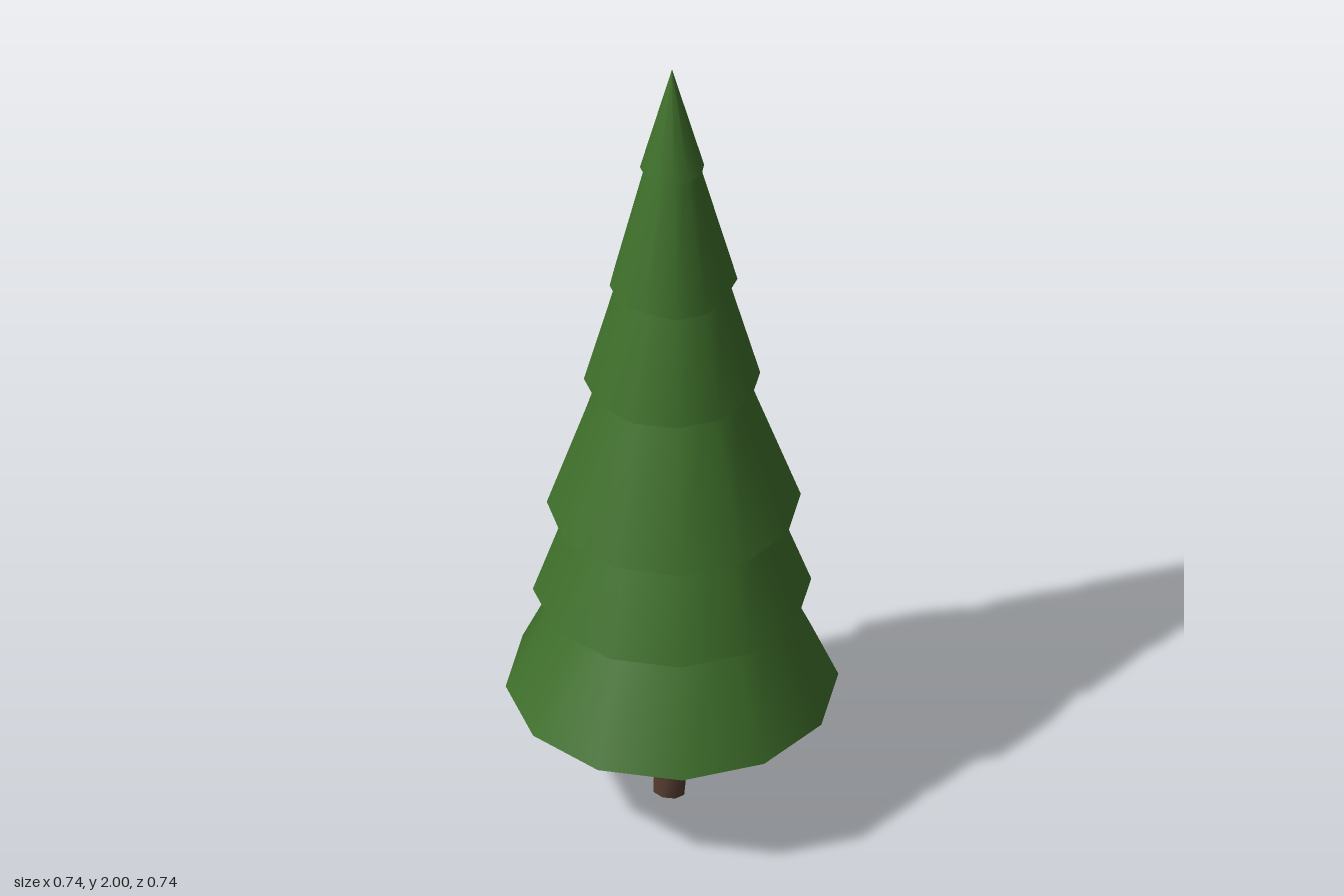
import * as THREE from 'three';
import { toCreasedNormals } from 'three/addons/utils/BufferGeometryUtils.js';

const SIDES = 12;

// One skirt of branches: a 12-sided frustum whose rim corners can be dented.
// dents: corner index (0 = front, 3 = +x, 6 = back, 9 = -x) -> [radius, lift]
function tierGeometry({ y0, y1, r0, r1, dents = {} }) {
  const geo = new THREE.CylinderGeometry(r1, r0, y1 - y0, SIDES, 1);
  geo.translate(0, (y0 + y1) / 2, 0);
  const pos = geo.attributes.position;
  for (let i = 0; i < pos.count; i++) {
    const x = pos.getX(i), z = pos.getZ(i), r = Math.hypot(x, z);
    if (pos.getY(i) > y0 + 1e-4 || r < 1e-4) continue;
    const corner = (Math.round(Math.atan2(x, z) / (Math.PI * 2 / SIDES)) + SIDES) % SIDES;
    const dent = dents[corner];
    if (dent) pos.setXYZ(i, x / r * dent[0], y0 + dent[1], z / r * dent[0]);
  }
  return toCreasedNormals(geo, 0.9);
}

export function createModel() {
  const tree = new THREE.Group();
  tree.name = 'pineTree';
  const green = new THREE.MeshStandardMaterial({ color: 0x3f702b });
  const brown = new THREE.MeshStandardMaterial({ color: 0x553c30 });

  // Branch tiers from the ground up
  const tiers = [
    { y0: 0.308, y1: 0.62, r0: 0.368, r1: 0.225 },
    { y0: 0.575, y1: 0.86, r0: 0.308, r1: 0.205,
      dents: { 6: [0.28, 0.03], 8: [0.305, 0], 9: [0.298, 0.005] } },
    { y0: 0.81, y1: 1.19, r0: 0.285, r1: 0.15,
      dents: { 0: [0.28, 0], 8: [0.285, 0.01], 9: [0.262, 0.02], 10: [0.277, 0.005] } },
    { y0: 1.152, y1: 1.45, r0: 0.195, r1: 0.115,
      dents: { 6: [0.195, -0.01], 9: [0.19, 0] } },
    { y0: 1.408, y1: 1.77, r0: 0.138, r1: 0.052,
      dents: { 0: [0.138, 0.01], 3: [0.13, 0], 4: [0.145, 0.005], 9: [0.141, -0.002] } },
    { y0: 1.733, y1: 2, r0: 0.071, r1: 0, dents: { 3: [0.073, 0], 9: [0.071, -0.008] } },
  ];
  tiers.forEach((tier, i) => {
    const mesh = new THREE.Mesh(tierGeometry(tier), green);
    mesh.name = `branchTier${i + 1}`;
    tree.add(mesh);
  });

  // Slightly crooked trunk: cross-section rings stretched and shifted by height
  const trunkGeo = new THREE.CylinderGeometry(1, 1, 0.34, 8, 2);
  trunkGeo.translate(0, 0.17, 0);
  const p = trunkGeo.attributes.position;
  const rings = [[-0.008, 0.038], [0.004, 0.042], [0, 0.03]]; // [x offset, x radius]
  for (let i = 0; i < p.count; i++) {
    const [shift, rx] = rings[Math.round(p.getY(i) / 0.17)];
    p.setX(i, p.getX(i) * rx + shift);
    p.setZ(i, p.getZ(i) * 0.03);
  }
  const trunk = new THREE.Mesh(toCreasedNormals(trunkGeo, 1), brown);
  trunk.name = 'trunk';
  tree.add(trunk);

  return tree;
}
